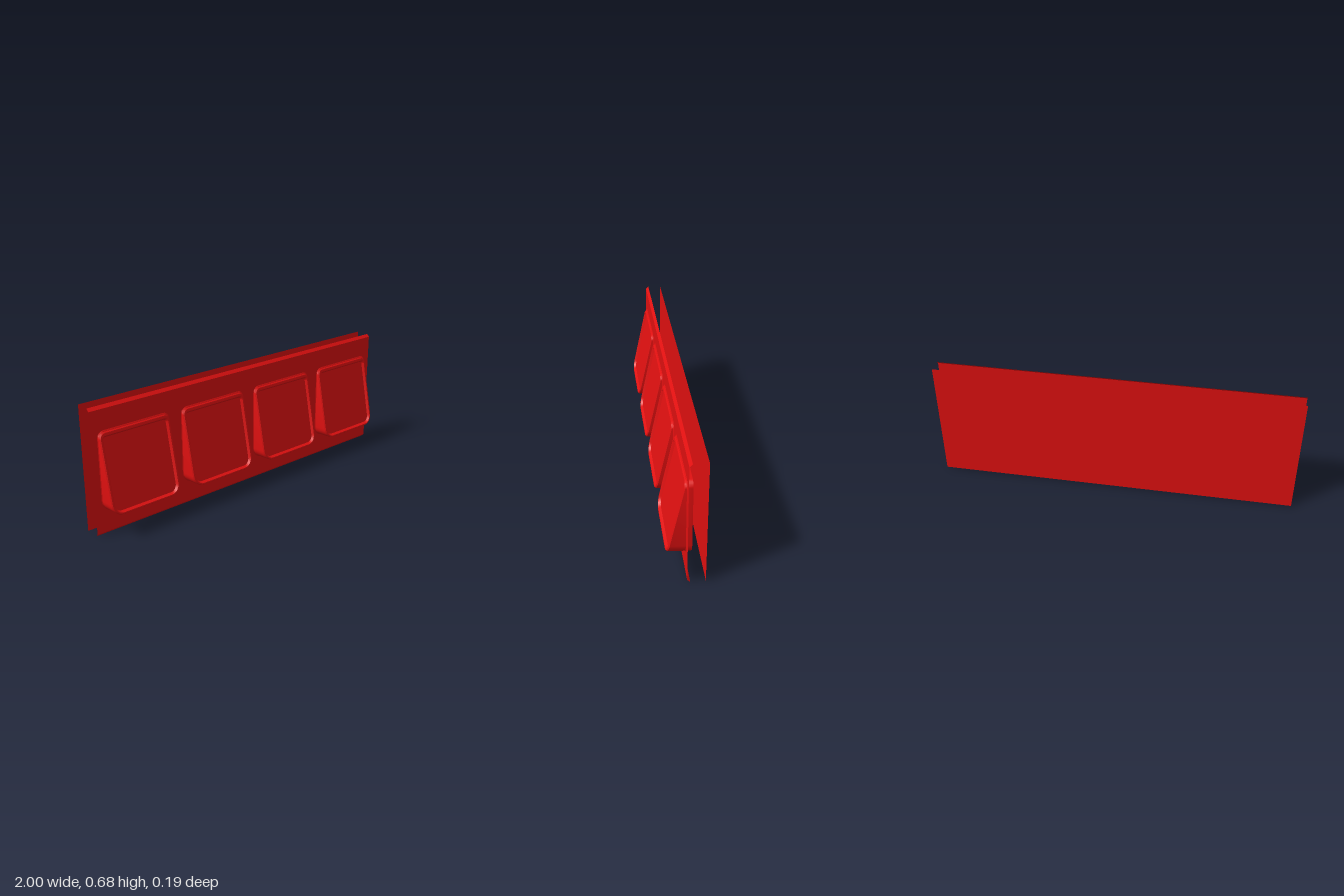
import * as THREE from 'three';
import { mergeVertices, toCreasedNormals } from 'three/addons/utils/BufferGeometryUtils.js';

const PANEL_Z = -0.003;
const HEIGHT = 0.68;
const CENTRES = [-0.75, -0.25, 0.25, 0.75];

// Sloped front of a scoop: nearly flush at the top, standing out at the bottom
const slope = (y) => 0.093 - (y - 0.135) * 0.21;

// Rounded rectangle, anticlockwise, with separate bottom and top corner radii
function outline(half, y0, y1, rBottom, rTop) {
  const corners = [
    [half, y1, rTop, 0], [-half, y1, rTop, 1],
    [-half, y0, rBottom, 2], [half, y0, rBottom, 3],
  ];
  const points = [];
  for (const [x, y, r, quarter] of corners) {
    for (let i = 0; i <= 6; i++) {
      const a = (quarter + i / 6) * Math.PI / 2;
      points.push(new THREE.Vector2(
        x - Math.sign(x) * r + r * Math.cos(a),
        (y === y1 ? y - r : y + r) + r * Math.sin(a)));
    }
  }
  return points;
}

// Joins the cross-sections from back to front and caps the last one
function loft(rings) {
  const n = rings[0].length;
  const position = rings.flat().flatMap((p) => [p.x, p.y, p.z]);
  const index = [];
  for (let k = 0; k < rings.length - 1; k++) {
    for (let j = 0; j < n; j++) {
      const a = k * n + j, b = k * n + (j + 1) % n;
      index.push(a, b, b + n, a, b + n, a + n);
    }
  }
  const last = (rings.length - 1) * n;
  for (let j = 1; j < n - 1; j++) index.push(last, last + j, last + j + 1);
  const geometry = new THREE.BufferGeometry();
  geometry.setAttribute('position', new THREE.Float32BufferAttribute(position, 3));
  geometry.setIndex(index);
  return toCreasedNormals(mergeVertices(geometry), 0.5);
}

function scoopGeometry() {
  // half width, bottom, top, bottom radius, top radius, depth rule
  const sections = [
    [0.209, 0.127, 0.552, 0.062, 0.034, () => -0.03],
    [0.209, 0.127, 0.552, 0.062, 0.034, () => -0.006],
    [0.213, 0.123, 0.556, 0.066, 0.038, () => PANEL_Z],
    [0.209, 0.127, 0.552, 0.062, 0.034, () => 0],
    [0.207, 0.132, 0.549, 0.06, 0.032, (y) => slope(y) - 0.005],
    [0.202, 0.136, 0.544, 0.056, 0.028, slope],
    [0.194, 0.142, 0.53, 0.048, 0.02, slope],
    [0.185, 0.15, 0.52, 0.036, 0.012, (y) => slope(y) - 0.012],
  ];
  return loft(sections.map(([half, y0, y1, rb, rt, depth]) =>
    outline(half, y0, y1, rb, rt).map((p) => new THREE.Vector3(p.x, p.y, depth(p.y)))));
}

export function createModel() {
  const model = new THREE.Group();
  const material = new THREE.MeshStandardMaterial({ color: 0xe01010, side: THREE.DoubleSide });
  const add = (name, geometry, x, y, z) => {
    const mesh = new THREE.Mesh(geometry, material);
    mesh.name = name;
    mesh.position.set(x, y, z);
    model.add(mesh);
    return mesh;
  };

  // Front sheet with an opening for each scoop
  const bevel = 0.015;
  const sheet = new THREE.Shape([
    new THREE.Vector2(-1, bevel), new THREE.Vector2(1, bevel),
    new THREE.Vector2(1, HEIGHT - bevel), new THREE.Vector2(-1, HEIGHT - bevel),
  ]);
  for (const x of CENTRES) {
    const hole = outline(0.209, 0.127, 0.552, 0.062, 0.034);
    sheet.holes.push(new THREE.Path(hole.map((p) => new THREE.Vector2(p.x + x, p.y)).reverse()));
  }
  add('frontPanel', new THREE.ShapeGeometry(sheet), 0, 0, PANEL_Z);

  // Lips folded back along the top and bottom edges
  for (const side of [-1, 1]) {
    const lip = add(side > 0 ? 'topLip' : 'bottomLip',
      new THREE.PlaneGeometry(2, bevel * Math.SQRT2),
      0, side > 0 ? HEIGHT - bevel / 2 : bevel / 2, PANEL_Z - bevel / 2);
    lip.rotation.x = -side * Math.PI / 4;
  }

  // Separate flat sheet behind
  add('backPanel', new THREE.PlaneGeometry(2, HEIGHT), 0, HEIGHT / 2, -0.093);

  // Row of sloped scoops with recessed faces
  const scoop = scoopGeometry();
  CENTRES.forEach((x, i) => add(`scoop${i + 1}`, scoop, x, 0, 0));

  return model;
}
